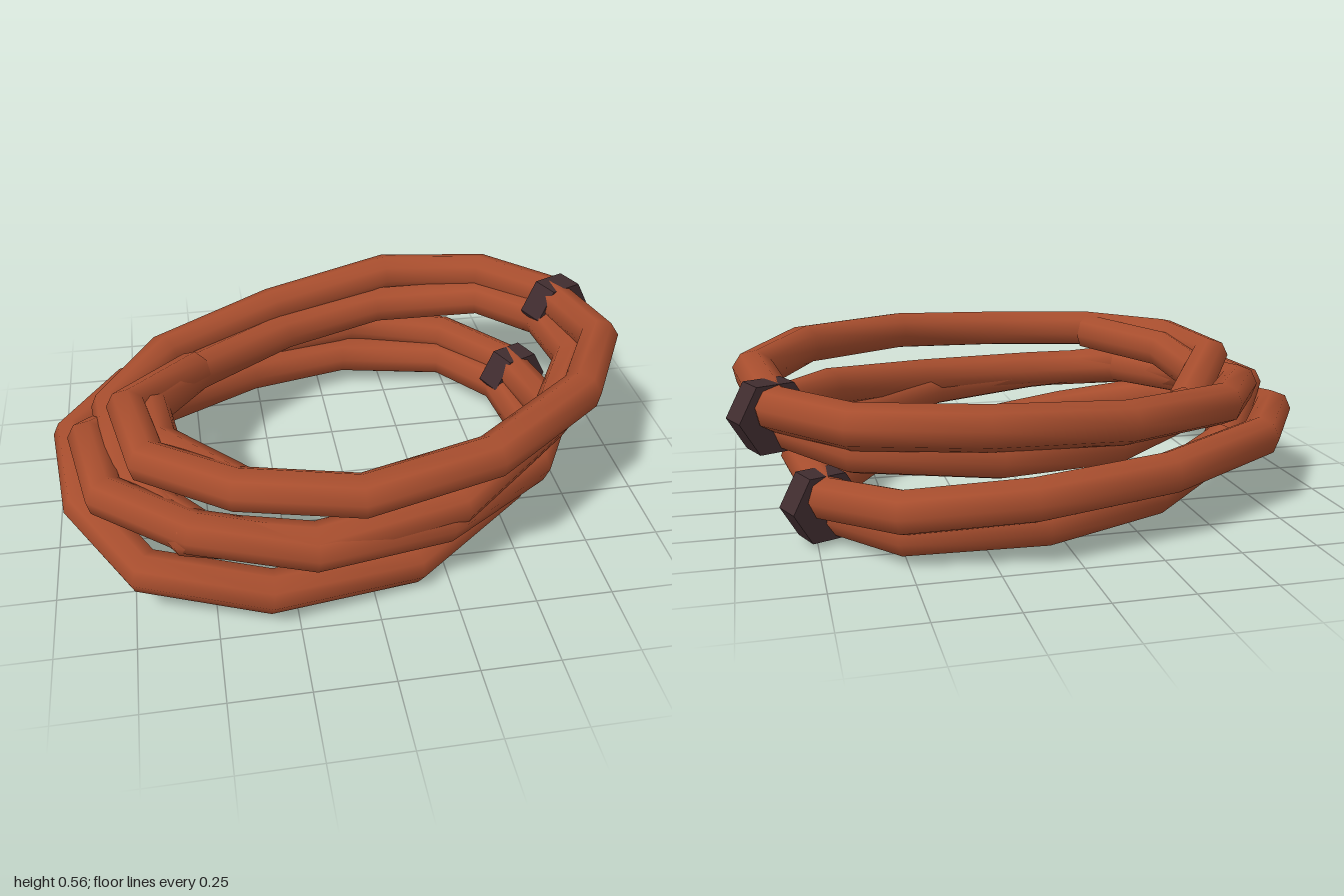
import * as THREE from 'three';

const RADIUS = 0.07;

// Straight-sided path with mitred corners
class Polyline extends THREE.Curve {
  constructor(points) {
    super();
    this.points = points;
  }
  getPoint(t, target = new THREE.Vector3()) {
    const n = this.points.length - 1;
    const i = Math.min(Math.floor(t * n + 1e-6), n - 1);
    return target.lerpVectors(this.points[i], this.points[i + 1], t * n - i);
  }
  getPointAt(u, target) {
    return this.getPoint(u, target);
  }
  getTangentAt(u, target = new THREE.Vector3()) {
    const p = this.points, n = p.length - 1, i = Math.round(u * n);
    const a = p[Math.max(i - 1, 0)], b = p[i], c = p[Math.min(i + 1, n)];
    const before = b.clone().sub(a).normalize(), after = c.clone().sub(b).normalize();
    return target.copy(before.add(after)).normalize();
  }
}

// Two turns of rope as x, y, z; both ends run inside a neighbouring turn
const COIL = [
  // upper turn: left, front, right, back
  [-0.5, 0.34, -0.25], [-0.73, 0.43, 0.09], [-0.67, 0.45, 0.41], [-0.41, 0.46, 0.6],
  [-0.05, 0.46, 0.69], [0.36, 0.485, 0.6], [0.73, 0.5, 0.33], [0.91, 0.485, 0],
  [0.85, 0.452, -0.4], [0.65, 0.445, -0.62], [0.28, 0.435, -0.695], [-0.18, 0.39, -0.575],
  [-0.6, 0.365, -0.34], [-0.79, 0.352, -0.04],
  // lower turn
  [-0.75, 0.32, 0.3], [-0.57, 0.3, 0.59], [-0.19, 0.283, 0.68], [0.27, 0.297, 0.58],
  [0.66, 0.35, 0.27], [0.85, 0.375, -0.06], [0.82, 0.38, -0.34], [0.64, 0.36, -0.57],
  [0.23, 0.33, -0.63], [-0.15, 0.31, -0.515], [-0.5, 0.33, -0.25], [-0.66, 0.38, 0.02],
  [-0.63, 0.42, 0.3], [-0.41, 0.45, 0.58],
];

export function createModel() {
  const group = new THREE.Group();
  const ropeMaterial = new THREE.MeshStandardMaterial({ color: 0xa84e2e });
  ropeMaterial.name = 'rust rope';
  const bandMaterial = new THREE.MeshStandardMaterial({ color: 0x402c2f });
  bandMaterial.name = 'dark band';

  // The lower coil is the upper one shifted sideways and tilted
  const place = {
    upper: ([x, y, z]) => new THREE.Vector3(x, y, z),
    lower: ([x, y, z]) => new THREE.Vector3(x - 0.14, y - 0.194 - 0.115 * x, z),
  };

  // Six-sided band, axis following the rope, corner pointing outwards
  const bandGeometry = new THREE.CylinderGeometry(0.12, 0.12, 0.1, 6)
    .rotateY(Math.PI / 2)
    .rotateX(Math.PI / 2)
    .toNonIndexed();
  bandGeometry.computeVertexNormals();

  for (const [name, move] of Object.entries(place)) {
    const path = new Polyline(COIL.map(move));
    const rope = new THREE.Mesh(
      new THREE.TubeGeometry(path, COIL.length - 1, RADIUS, 8, false), ropeMaterial);
    rope.name = name + 'RopeCoil';
    group.add(rope);

    const band = new THREE.Mesh(bandGeometry, bandMaterial);
    band.name = name + 'Band';
    band.position.copy(move([0.87, 0.42, -0.342]));
    band.rotation.y = 0.4;
    group.add(band);
  }
  return group;
}
